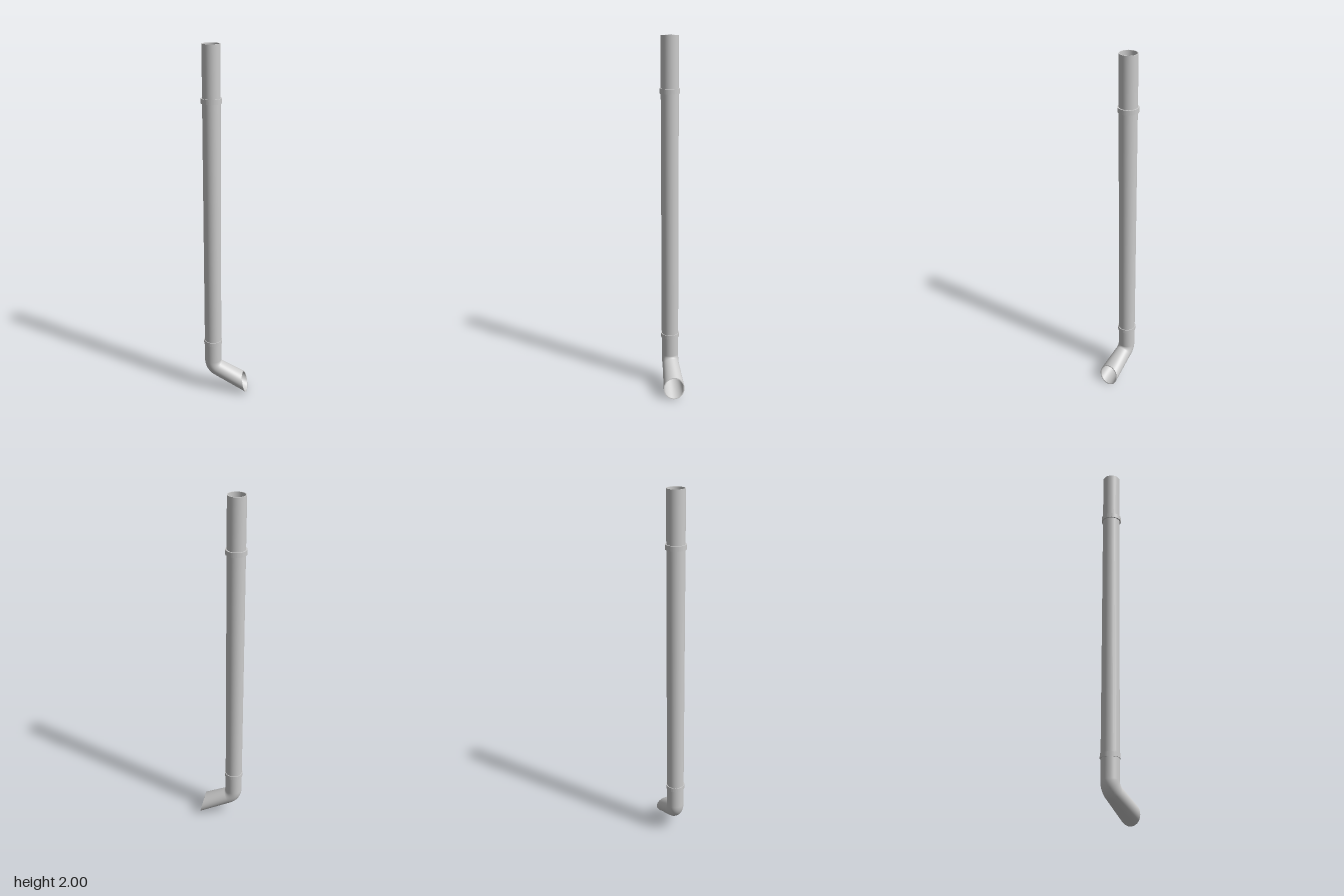
import * as THREE from 'three';

const AXIS = -0.0745; // x of the vertical pipe
const R = 0.048, WALL = 0.005, SIDES = 40;
const material = new THREE.MeshStandardMaterial({ color: 0xcccccc });

// Elliptical section: centre (x, y), in-plane axis (ux, uy), depth radius b along z
const section = (x, y, ux, uy, b) => ({ x, y, ux, uy, b });

// Stations from the open top, round the bend, to the slanted mouth
function stations(inset) {
  const r = R - inset, bend = 0.06, by = 0.19;
  const list = [section(AXIS, 2, r, 0, r)];
  const steps = 10, turn = THREE.MathUtils.degToRad(64);
  for (let i = 0; i <= steps; i++) {
    const a = Math.PI + turn * i / steps;
    list.push(section(AXIS + bend + bend * Math.cos(a), by + bend * Math.sin(a),
      -Math.cos(a) * r, -Math.sin(a) * r, r));
  }
  // The mouth is cut at a slant and flares sideways
  const k = 1 - inset / 0.06;
  list.push(section(0.1143, 0.06, -0.0142 * k, 0.06 * k, 0.06 * k));
  return list;
}

// Skin a row of sections into a smooth surface
function loft(sections) {
  const pos = [], index = [];
  sections.forEach((s, i) => {
    for (let j = 0; j < SIDES; j++) {
      const t = j / SIDES * Math.PI * 2, c = Math.cos(t);
      pos.push(s.x + s.ux * c, s.y + s.uy * c, s.b * Math.sin(t));
      if (i < sections.length - 1) {
        const a = i * SIDES + j, b = i * SIDES + (j + 1) % SIDES;
        index.push(a, b, a + SIDES, b, b + SIDES, a + SIDES);
      }
    }
  });
  const g = new THREE.BufferGeometry();
  g.setAttribute('position', new THREE.Float32BufferAttribute(pos, 3));
  g.setIndex(index);
  g.computeVertexNormals();
  return g;
}

// Square-edged collar around the pipe
function collar(name, y, radius, height) {
  const shape = new THREE.Shape().absarc(0, 0, radius, 0, Math.PI * 2);
  shape.holes.push(new THREE.Path().absarc(0, 0, R - 0.002, 0, Math.PI * 2, true));
  const g = new THREE.ExtrudeGeometry(shape, { depth: height, bevelEnabled: false, curveSegments: SIDES });
  g.rotateX(-Math.PI / 2).translate(AXIS, y - height / 2, 0);
  const mesh = new THREE.Mesh(g, material);
  mesh.name = name;
  return mesh;
}

export function createModel() {
  const model = new THREE.Group();
  model.name = 'downpipe';

  // Pipe shell: outer wall, mouth rim, inner wall, top rim
  const pipe = new THREE.Group();
  pipe.name = 'pipe';
  const outer = stations(0), inner = stations(WALL).reverse();
  const parts = {
    outerWall: outer,
    mouthRim: [outer[outer.length - 1], inner[0]],
    innerWall: inner,
    topRim: [inner[inner.length - 1], outer[0]],
  };
  for (const [name, rows] of Object.entries(parts)) {
    const mesh = new THREE.Mesh(loft(rows), material);
    mesh.name = name;
    pipe.add(mesh);
  }

  model.add(pipe,
    collar('upperCollar', 1.715, 0.055, 0.026),
    collar('lowerCollar', 0.312, 0.052, 0.024));
  return model;
}
